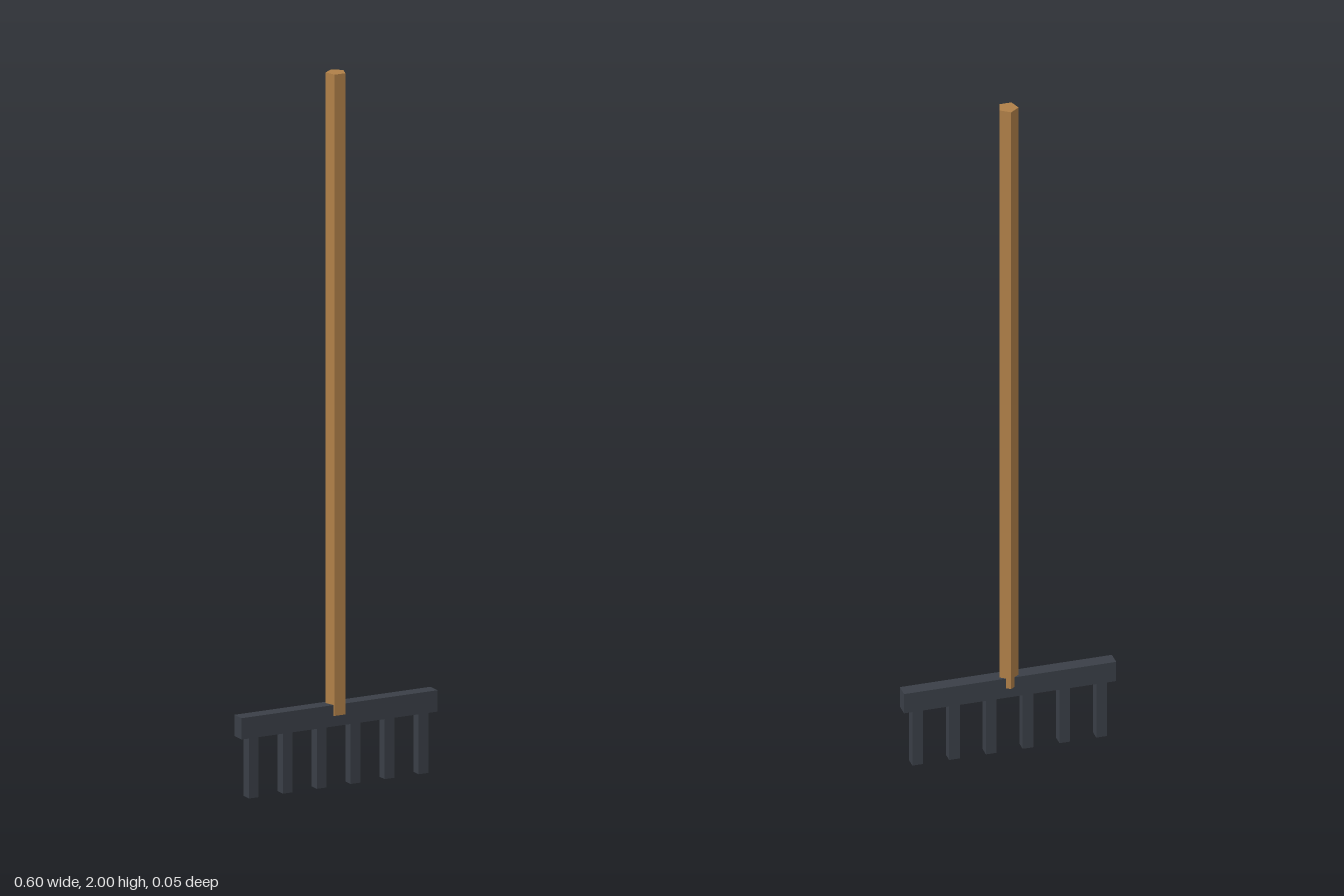
import * as THREE from 'three';

export function createModel() {
  const rake = new THREE.Group();
  rake.name = 'rake';
  const wood = new THREE.MeshStandardMaterial({ color: 0xb08048, flatShading: true });
  const iron = new THREE.MeshStandardMaterial({ color: 0x3a3f47, flatShading: true });

  const add = (name, geometry, material, x, y) => {
    const mesh = new THREE.Mesh(geometry, material);
    mesh.name = name;
    mesh.position.set(x, y, 0.002);
    rake.add(mesh);
    return mesh;
  };

  // Five-sided wooden handle, one edge pointing back
  add('handle', new THREE.CylinderGeometry(0.0285, 0.0285, 1.8, 5), wood, 0, 1.1).rotation.y = Math.PI;

  // Crossbar of the head
  add('crossbar', new THREE.BoxGeometry(0.6, 0.06, 0.04), iron, 0, 0.2);

  // Six square tines, evenly spaced under the crossbar
  const tineGeometry = new THREE.BoxGeometry(0.03, 0.18, 0.03);
  const tineCount = 6;
  for (let i = 0; i < tineCount; i++) {
    const x = -0.26 + (0.52 * i) / (tineCount - 1);
    add(`tine${i + 1}`, tineGeometry, iron, x, 0.09);
  }
  return rake;
}
